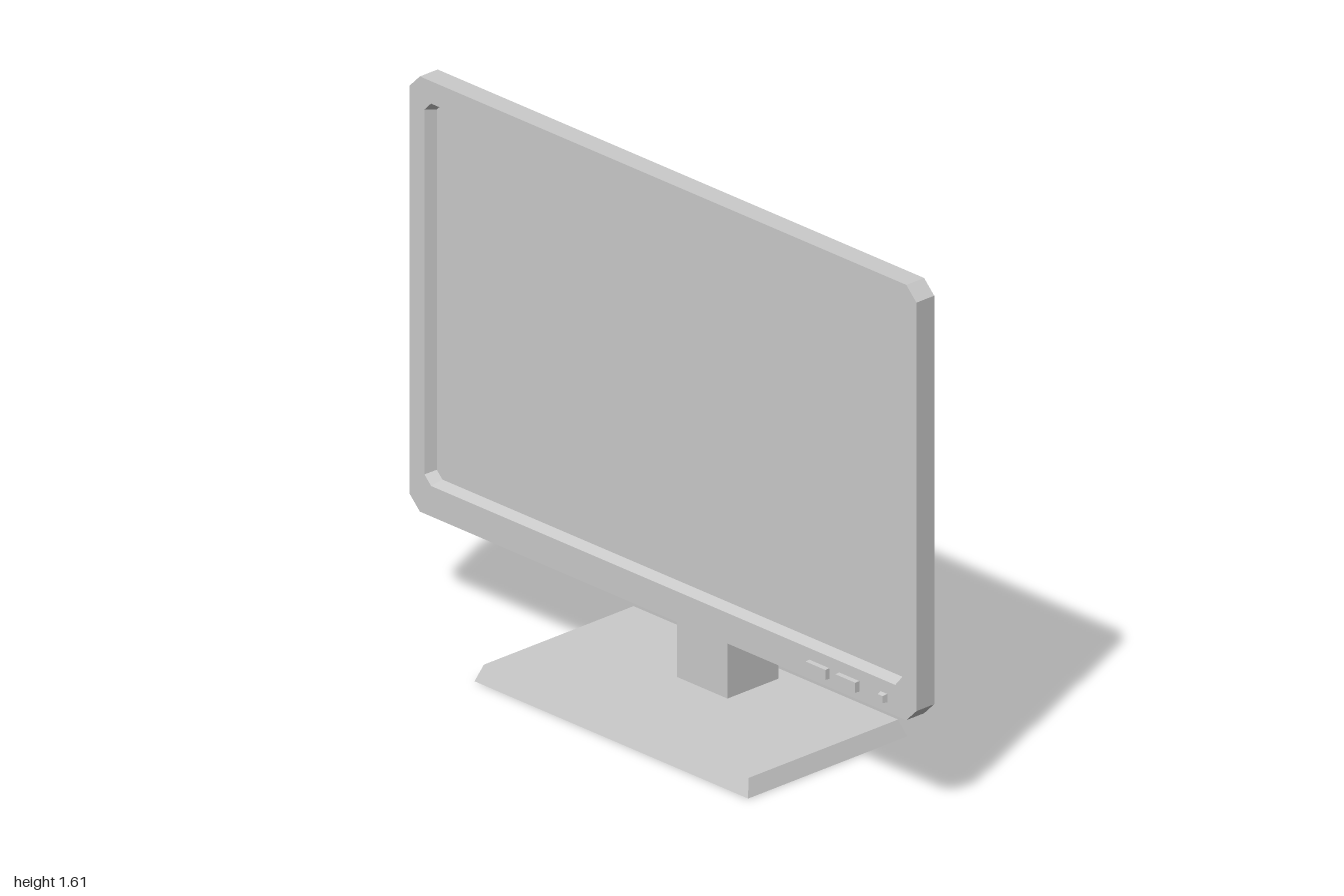
import * as THREE from 'three';

const material = new THREE.MeshStandardMaterial({ color: 0xcccccc, flatShading: true });

function part(parent, name, geometry, x = 0, y = 0, z = 0) {
  const mesh = new THREE.Mesh(geometry, material);
  mesh.name = name;
  mesh.position.set(x, y, z);
  parent.add(mesh);
  return mesh;
}

// Counter-clockwise rectangle with cut corners
function cutRect(halfW, halfH, cut) {
  const a = halfW - cut, b = halfH - cut;
  return [
    [a, -halfH], [halfW, -b], [halfW, b], [a, halfH],
    [-a, halfH], [-halfW, b], [-halfW, -b], [-a, -halfH],
  ].map(([x, y]) => new THREE.Vector2(x, y));
}

// Bands of quads joining successive outlines, each { points, z }
function loft(rings) {
  const positions = [], index = [], n = rings[0].points.length;
  for (const { points, z } of rings) for (const p of points) positions.push(p.x, p.y, z);
  for (let r = 0; r < rings.length - 1; r++) {
    for (let i = 0; i < n; i++) {
      const a = r * n + i, b = r * n + (i + 1) % n;
      index.push(a, b, b + n, a, b + n, a + n);
    }
  }
  const geometry = new THREE.BufferGeometry();
  geometry.setAttribute('position', new THREE.Float32BufferAttribute(positions, 3));
  geometry.setIndex(index);
  const flat = geometry.toNonIndexed();
  flat.computeVertexNormals();
  return flat;
}

// Box whose +axis face is inset on the other two axes
function taperedBox(size, axis, inset) {
  const geometry = new THREE.BoxGeometry(...size);
  const pos = geometry.attributes.position;
  for (let i = 0; i < pos.count; i++) {
    if (pos.getComponent(i, axis) < 0) continue;
    for (let k = 0; k < 3; k++) {
      if (k === axis) continue;
      const v = pos.getComponent(i, k);
      pos.setComponent(i, k, v - Math.sign(v) * inset);
    }
  }
  geometry.computeVertexNormals();
  return geometry;
}

export function createModel() {
  const model = new THREE.Group();
  model.name = 'monitor';

  // Display housing: outer wall, front bezel and sloped lip around the screen
  const display = new THREE.Group();
  display.name = 'display';
  display.position.y = 0.96;
  model.add(display);
  const backZ = 0.038, frontZ = 0.105, screenZ = 0.07;
  const outer = cutRect(1, 0.65, 0.04);
  const opening = cutRect(0.942, 0.571, 0.026);
  const inner = cutRect(0.93, 0.56, 0.022);
  for (const ring of [opening, inner]) for (const p of ring) p.y += 0.012;
  part(display, 'bezel', loft([
    { points: outer, z: backZ },
    { points: outer, z: frontZ },
    { points: opening, z: frontZ },
    { points: inner, z: screenZ },
  ]));
  part(display, 'screen', new THREE.ShapeGeometry(new THREE.Shape(inner)), 0, 0, screenZ);
  part(display, 'backPanel', new THREE.ShapeGeometry(new THREE.Shape(outer)), 0, 0, backZ)
    .rotation.y = Math.PI;

  // Control buttons on the lower bezel
  [[0.617, 0.08, 0.032], [0.735, 0.08, 0.032], [0.872, 0.028, 0.028]].forEach(([x, w, h], i) => {
    part(model, i < 2 ? 'button' : 'powerButton',
      taperedBox([w, h, 0.02], 2, i < 2 ? 0.001 : 0.004), x, 0.351, 0.11);
  });

  // Rear electronics housing
  part(model, 'rearHousing', new THREE.BoxGeometry(0.87, 0.595, 0.106), 0, 0.9575, -0.015);

  // Stand
  part(model, 'standColumn', new THREE.BoxGeometry(0.2, 1.015, 0.193), 0, 0.5575, -0.1385);
  part(model, 'standBase', taperedBox([1.08, 0.05, 0.6], 1, 0.018), 0, 0.025, 0);

  return model;
}
